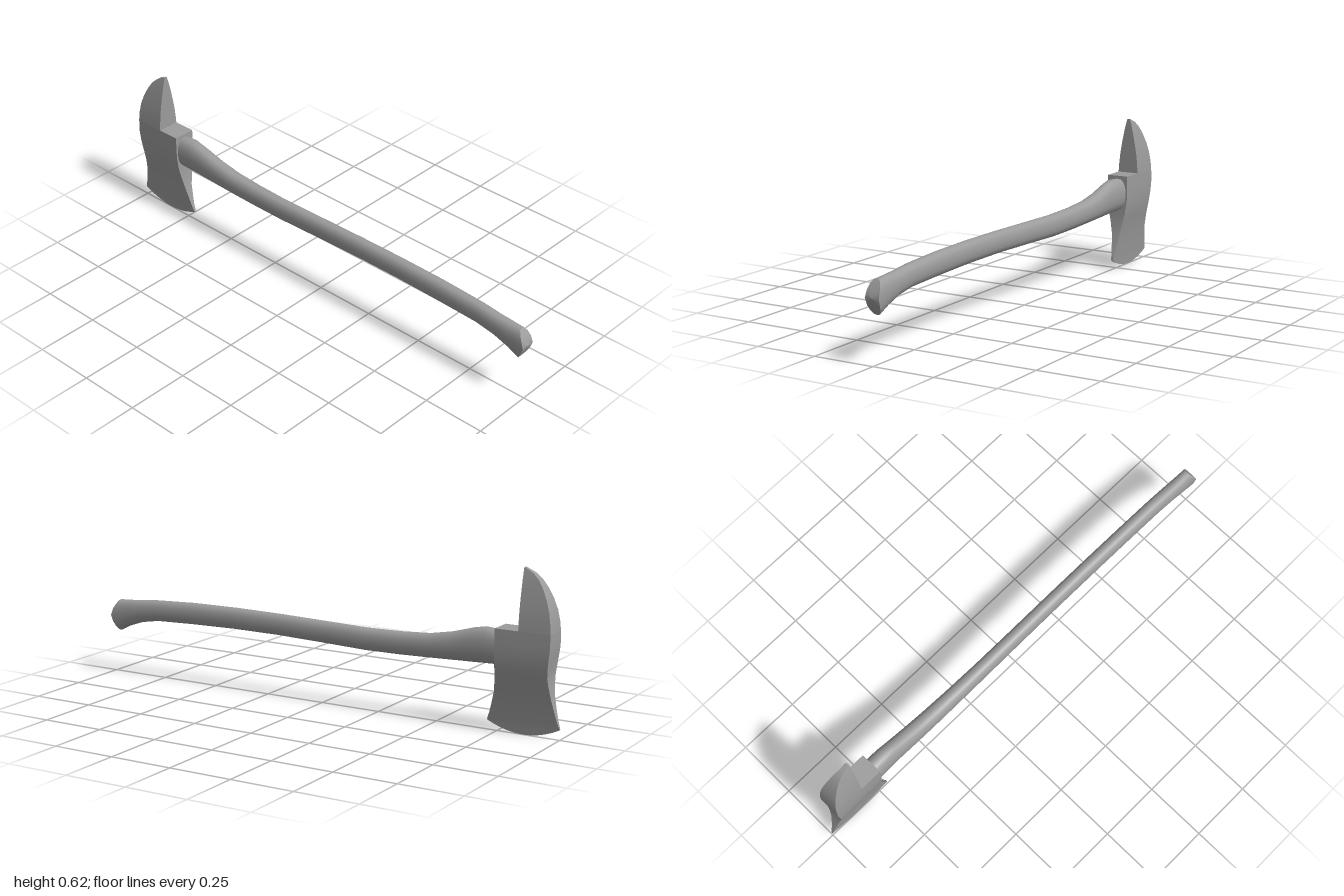
import * as THREE from 'three';

const material = new THREE.MeshStandardMaterial({ color: 0x9c9c9c });

function makeMesh(name, positions, indices) {
  const g = new THREE.BufferGeometry();
  g.setAttribute('position', new THREE.Float32BufferAttribute(positions, 3));
  g.setIndex(indices);
  g.computeVertexNormals();
  const mesh = new THREE.Mesh(g, material);
  mesh.name = name;
  return mesh;
}

// Stack of rectangular sections [y, left x, right x, half thickness], listed upward.
// Each of the four sides has its own vertices, so corners stay sharp.
function rectLoft(name, sections) {
  const pos = [], idx = [];
  const corners = ([y, x0, x1, t]) => [[x0, y, t], [x1, y, t], [x1, y, -t], [x0, y, -t]];
  for (let side = 0; side < 4; side++) {
    const base = pos.length / 3;
    sections.forEach((s, i) => {
      const c = corners(s);
      pos.push(...c[side], ...c[(side + 1) % 4]);
      if (i === 0) return;
      const a = base + (i - 1) * 2;
      idx.push(a, a + 1, a + 3, a, a + 3, a + 2);
    });
  }
  const top = pos.length / 3;
  corners(sections[sections.length - 1]).forEach((p) => pos.push(...p));
  idx.push(top, top + 1, top + 2, top, top + 2, top + 3);
  return makeMesh(name, pos, idx);
}

// Smooth skin over rings of equal point count, listed along +x
function ringLoft(name, rings) {
  const n = rings[0].length, idx = [];
  for (let i = 1; i < rings.length; i++) {
    for (let j = 0; j < n; j++) {
      const k = (j + 1) % n, p = (i - 1) * n, q = i * n;
      idx.push(p + j, q + j, q + k, p + j, q + k, p + k);
    }
  }
  return makeMesh(name, rings.flat(2), idx);
}

// Oval handle with a rounded butt; stations are [x, top y, bottom y, half width].
function buildHandle() {
  const stations = [
    [-0.8, 0.378, 0.252, 0.039], [-0.75, 0.382, 0.25, 0.039], [-0.7, 0.386, 0.248, 0.038],
    [-0.65, 0.376, 0.246, 0.036], [-0.56, 0.35, 0.243, 0.035], [-0.47, 0.333, 0.24, 0.034],
    [-0.35, 0.325, 0.236, 0.032], [-0.2, 0.322, 0.234, 0.03], [0, 0.326, 0.24, 0.029],
    [0.2, 0.33, 0.245, 0.029], [0.4, 0.331, 0.245, 0.029], [0.6, 0.328, 0.24, 0.029],
    [0.78, 0.319, 0.233, 0.029], [0.86, 0.31, 0.219, 0.029], [0.92, 0.306, 0.198, 0.029],
  ];
  const butt = [1, 0.303, 0.174, 0.029];
  const round = (v) => Math.sign(v) * Math.abs(v) ** 0.88;
  // The bow pulls a ring's top and bottom back; scale shrinks it toward its centre.
  const ring = ([x, top, bottom, w], bow = 0, scale = 1) => Array.from({ length: 16 }, (_, j) => {
    const a = (j / 16) * Math.PI * 2;
    const u = round(Math.sin(a)) * scale;
    return [x - bow * Math.abs(u) ** 1.4, (top + bottom) / 2 + u * (top - bottom) / 2,
      w * scale * round(Math.cos(a))];
  });
  const group = new THREE.Group();
  group.name = 'handle';
  group.add(
    ringLoft('shaft', [...stations.map((s) => ring(s)), ring(butt, 0.032)]),
    ringLoft('buttEnd', [1, 0.75, 0.5, 0.25, 0].map((s) => ring(butt, 0.032, s))),
  );
  return group;
}

export function createModel() {
  const model = new THREE.Group();
  model.name = 'axe';

  // Curved cutting edge, sharpened to nothing at the lowest point
  const edge = [0, 0.2, 0.4, 0.6, 0.8, 0.92].map((u) =>
    [0.038 * u * u, -0.855 - 0.145 * u, -0.855 + 0.145 * u, 0.0035 * u * u]);

  const blade = rectLoft('blade', [
    ...edge,
    [0.038, -1, -0.71, 0.0035], [0.07, -0.99, -0.721, 0.0075], [0.1, -0.982, -0.73, 0.0115],
    [0.15, -0.97, -0.743, 0.0185], [0.2, -0.963, -0.75, 0.029], [0.23, -0.961, -0.752, 0.036],
    [0.26, -0.963, -0.753, 0.041], [0.3, -0.968, -0.754, 0.045], [0.34, -0.973, -0.754, 0.046],
    [0.393, -0.973, -0.754, 0.045],
  ]);

  const pick = rectLoft('pick', [
    [0.393, -0.973, -0.847, 0.045], [0.43, -0.97, -0.847, 0.0425], [0.47, -0.963, -0.847, 0.038],
    [0.51, -0.95, -0.847, 0.0315], [0.55, -0.931, -0.847, 0.0235], [0.58, -0.911, -0.847, 0.017],
    [0.603, -0.886, -0.847, 0.011], [0.62, -0.852, -0.847, 0.006],
  ]);

  const head = new THREE.Group();
  head.name = 'head';
  head.add(blade, pick);
  model.add(head, buildHandle());
  return model;
}
